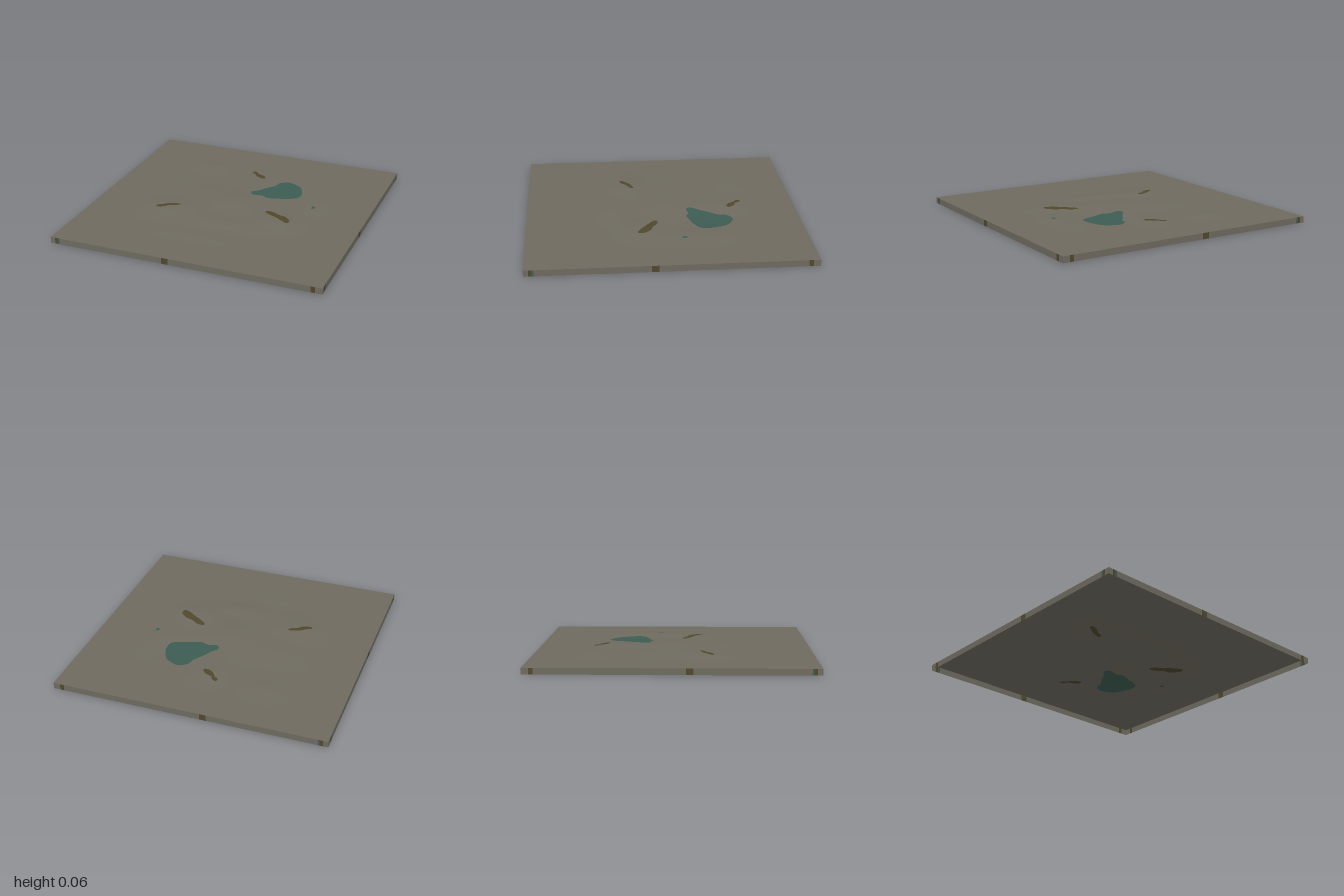
import * as THREE from 'three';

const BASE = 0.045; // height of the flat border

// Low mounds: [x, z, radius along x, radius along z, height]
const MOUNDS = [
  [-0.42, -0.6, 0.16, 0.14, 0.008],
  [-0.4, 0.25, 0.25, 0.16, 0.016],
  [-0.3, -0.1, 0.3, 0.18, 0.009],
  [0.02, 0.02, 0.2, 0.2, 0.015],
  [0.02, -0.45, 0.16, 0.25, 0.008],
  [0.38, 0.2, 0.18, 0.13, 0.015],
  [0.05, 0.36, 0.22, 0.1, 0.012],
  [0.55, -0.2, 0.14, 0.25, 0.009],
  [-0.1, 0.62, 0.3, 0.1, 0.004],
  [0.25, -0.34, 0.14, 0.14, -0.004], // hollow under the pond
];

function heightAt(x, z) {
  const fade = 1 - THREE.MathUtils.smoothstep(Math.max(Math.abs(x), Math.abs(z)), 0.55, 0.85);
  let h = 0;
  for (const [mx, mz, rx, rz, a] of MOUNDS) {
    h += a * Math.exp(-(((x - mx) / rx) ** 2) - ((z - mz) / rz) ** 2);
  }
  return BASE + fade * h;
}

// Smooth closed patch draped on the ground, built as rings about its centre
function drapedPatch(points, offset) {
  const curve = new THREE.CatmullRomCurve3(
    points.map(([x, z]) => new THREE.Vector3(x, 0, z)), true);
  const N = 64, RINGS = 8;
  const outline = curve.getSpacedPoints(N).slice(0, N);
  const c = new THREE.Vector3();
  outline.forEach((p) => c.addScaledVector(p, 1 / N));
  const pos = [], index = [];
  for (let r = 0; r <= RINGS; r++) {
    for (const p of outline) {
      const q = c.clone().lerp(p, r / RINGS);
      pos.push(q.x, heightAt(q.x, q.z) + offset, q.z);
    }
  }
  for (let r = 0; r < RINGS; r++) {
    for (let i = 0; i < N; i++) {
      const j = (i + 1) % N;
      const a = r * N + i, b = r * N + j, d = a + N, e = b + N;
      if (r > 0) index.push(a, b, d);
      index.push(b, e, d);
    }
  }
  const g = new THREE.BufferGeometry();
  g.setAttribute('position', new THREE.Float32BufferAttribute(pos, 3));
  g.setIndex(index);
  g.computeVertexNormals();
  return g;
}

const POND = [
  [0.05, -0.22], [0.09, -0.27], [0.13, -0.34], [0.18, -0.41], [0.19, -0.46], [0.25, -0.505],
  [0.31, -0.49], [0.37, -0.45], [0.4, -0.39], [0.42, -0.33], [0.41, -0.25], [0.36, -0.22],
  [0.27, -0.19], [0.19, -0.17], [0.15, -0.19], [0.07, -0.18],
];
const PUDDLE = [[0.565, -0.135], [0.585, -0.135], [0.585, -0.105], [0.57, -0.1]];
const MUD = [
  [[-0.07, -0.605], [-0.04, -0.595], [-0.02, -0.565], [0.03, -0.545], [0.06, -0.5],
    [0.04, -0.49], [-0.01, -0.51], [-0.05, -0.56], [-0.075, -0.575]],
  [[0.27, 0.055], [0.32, 0.055], [0.38, 0.09], [0.44, 0.11], [0.49, 0.17],
    [0.48, 0.205], [0.44, 0.19], [0.38, 0.15], [0.33, 0.12], [0.275, 0.08]],
  [[-0.36, 0.19], [-0.37, 0.215], [-0.42, 0.24], [-0.46, 0.275], [-0.51, 0.29],
    [-0.525, 0.27], [-0.49, 0.245], [-0.45, 0.215], [-0.4, 0.195]],
];

export function createModel() {
  const material = (name, color) => {
    const m = new THREE.MeshStandardMaterial({ color, side: THREE.DoubleSide });
    m.name = name;
    return m;
  };
  const stone = material('stone', 0x6e6a5f);
  const water = material('water', 0x3d5c53);
  const mud = material('mud', 0x50482c);

  const model = new THREE.Group();
  model.name = 'terrainTile';
  const add = (name, geometry, mat, parent = model) => {
    const mesh = new THREE.Mesh(geometry, mat);
    mesh.name = name;
    parent.add(mesh);
    return mesh;
  };

  // Rolling ground surface
  const ground = new THREE.PlaneGeometry(2, 2, 120, 120).rotateX(-Math.PI / 2);
  const p = ground.attributes.position;
  for (let i = 0; i < p.count; i++) p.setY(i, heightAt(p.getX(i), p.getZ(i)));
  ground.computeVertexNormals();
  add('ground', ground, stone);

  // Coloured patches, on the top and on the hollow underside
  for (const [side, offset] of [['Top', 0.0008], ['Underside', -0.0008]]) {
    add('pond' + side, drapedPatch(POND, offset), water);
    add('puddle' + side, drapedPatch(PUDDLE, offset), water);
    MUD.forEach((m, i) => add(`mudPatch${i + 1}${side}`, drapedPatch(m, offset), mud));
  }

  // Skirt walls, split along their length into coloured strips: [end, material]
  const strips = [
    [-0.965, stone], [-0.945, mud], [-0.93, water], [-0.145, stone],
    [-0.095, mud], [0.92, stone], [0.95, mud], [1, stone],
  ];
  const makeWall = (name, alongZ, at) => {
    const wall = new THREE.Group();
    wall.name = name;
    let start = -1;
    for (const [end, mat] of strips) {
      const g = new THREE.PlaneGeometry(end - start, BASE);
      g.translate((start + end) / 2, BASE / 2, 0);
      if (alongZ) g.rotateY(Math.PI / 2);
      // turn the normals outward on the two opposite walls
      if (at < 0) {
        g.index.array.reverse();
        const n = g.attributes.normal;
        for (let i = 0; i < n.array.length; i++) n.array[i] *= -1;
      }
      g.translate(alongZ ? at : 0, 0, alongZ ? 0 : at);
      add(mat.name + 'Strip', g, mat, wall);
      start = end;
    }
    model.add(wall);
  };
  makeWall('frontWall', false, 1);
  makeWall('backWall', false, -1);
  makeWall('leftWall', true, 1);
  makeWall('rightWall', true, -1);

  return model;
}
